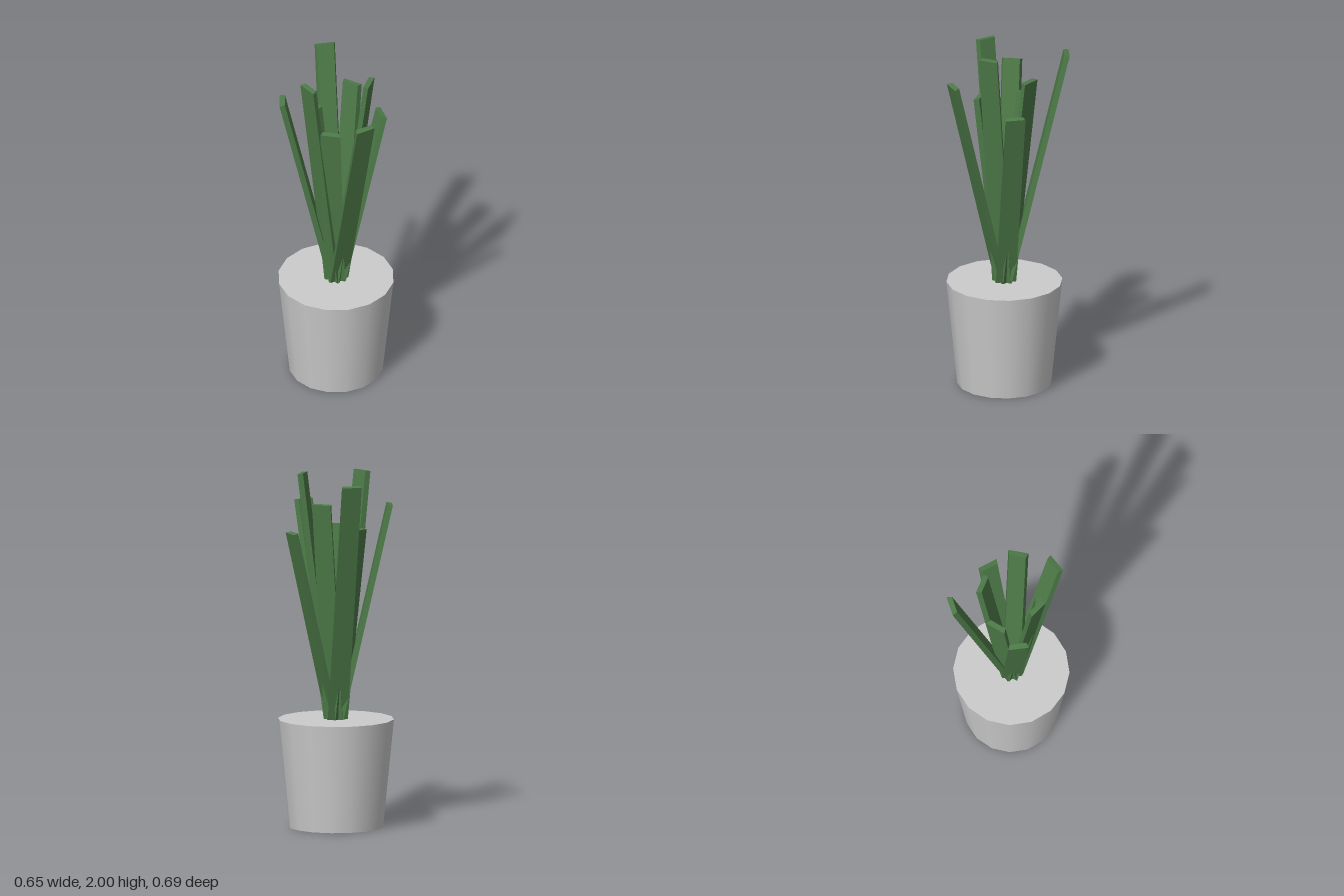
import * as THREE from 'three';

const POT_HEIGHT = 0.61;
const CENTER_Z = 0.015;

// Leaf tips: offset from the pot axis in x and z, and tip height
const LEAF_TIPS = [
  [-0.124, -0.341, 1.965],
  [0.245, -0.142, 1.672],
  [0.065, -0.178, 1.84],
  [0.206, 0.032, 1.992],
  [0.213, 0.247, 1.815],
  [-0.003, 0.163, 1.692],
  [-0.138, 0.159, 1.996],
  [-0.311, 0.052, 1.82],
  [-0.148, -0.083, 1.69],
];

// Trapezoid blade, wider on its outer face, leaning outward from the pot axis
function createLeaf([x, z, tipY], material) {
  const radial = new THREE.Vector3(x, 0, z).normalize();
  const base = radial.clone().multiplyScalar(0.035).setY(POT_HEIGHT - 0.015);
  const axis = new THREE.Vector3(x, tipY, z).sub(base);
  const length = axis.length();
  axis.normalize();
  const side = radial.clone().cross(axis).normalize();
  const outward = axis.clone().cross(side);

  const section = new THREE.Shape([
    new THREE.Vector2(-0.048, -0.03),
    new THREE.Vector2(0.048, -0.03),
    new THREE.Vector2(0.0575, 0),
    new THREE.Vector2(-0.0575, 0),
  ]);
  const geometry = new THREE.ExtrudeGeometry(section, { depth: length, bevelEnabled: false });
  geometry.applyMatrix4(new THREE.Matrix4().makeBasis(side, outward, axis).setPosition(base));
  const leaf = new THREE.Mesh(geometry, material);
  leaf.name = 'leaf';
  return leaf;
}

export function createModel() {
  const model = new THREE.Group();
  model.name = 'pottedPlant';

  // Tapered, closed pot
  const pot = new THREE.Mesh(
    new THREE.CylinderGeometry(0.326, 0.265, POT_HEIGHT, 16),
    new THREE.MeshStandardMaterial({ color: 0xcccccc })
  );
  pot.name = 'pot';
  pot.position.set(0, POT_HEIGHT / 2, CENTER_Z);
  model.add(pot);

  // Spray of straight leaves
  const green = new THREE.MeshStandardMaterial({ color: 0x4d7a48 });
  const leaves = new THREE.Group();
  leaves.name = 'leaves';
  leaves.position.z = CENTER_Z;
  for (const tip of LEAF_TIPS) leaves.add(createLeaf(tip, green));
  model.add(leaves);

  return model;
}
